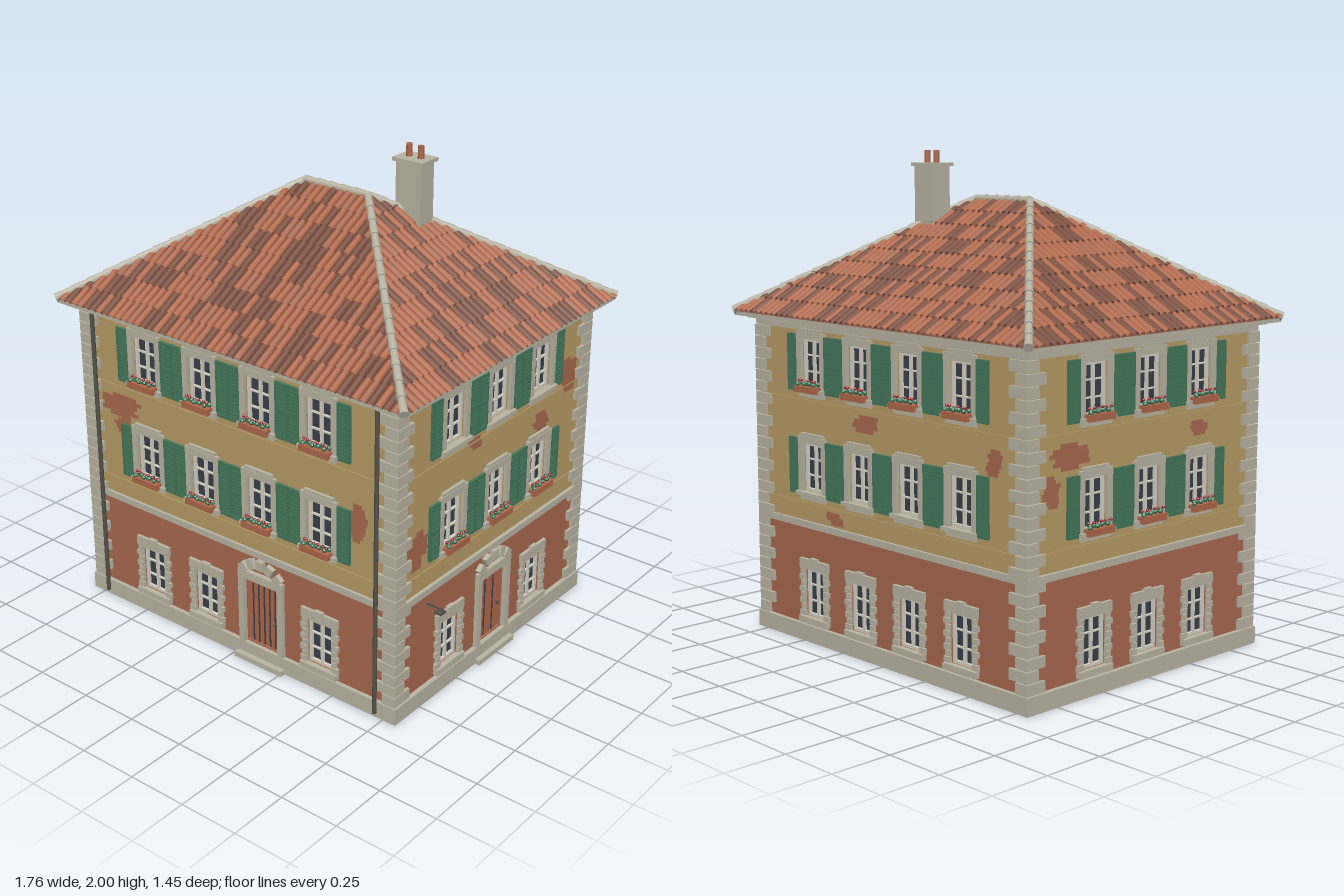
import * as THREE from 'three';
import { mergeGeometries } from 'three/addons/utils/BufferGeometryUtils.js';

const paint = (name, color, side = THREE.FrontSide) => {
  const m = new THREE.MeshStandardMaterial({ color, side });
  m.name = name;
  return m;
};
const M = {
  brick: paint('brick', 0xa9694f, THREE.DoubleSide),
  plaster: paint('ochre plaster', 0xb89c66),
  stone: paint('pale stone', 0xbab5a4),
  green: paint('shutter green', 0x44775a),
  glass: paint('dark glass', 0x3a404a),
  clay: paint('terracotta', 0xb0684a, THREE.DoubleSide),
  dark: paint('weathered tile', 0x7a4e3e, THREE.DoubleSide),
  frame: paint('window white', 0xd6d3c6),
  metal: paint('dark metal', 0x55524a),
  red: paint('flower red', 0xa82c30),
};
let seed = 7;
const rnd = () => (seed = (seed * 16807) % 2147483647) / 2147483647;
const boxGeo = (w, h, d, x = 0, y = 0, z = 0) => new THREE.BoxGeometry(w, h, d).translate(x, y, z);
function add(parent, name, geo, mat, x = 0, y = 0, z = 0) {
  const m = new THREE.Mesh(geo, mat);
  m.name = name;
  m.position.set(x, y, z);
  parent.add(m);
  return m;
}
const group = (parent, name, x = 0, y = 0, z = 0) => {
  const g = new THREE.Group();
  g.name = name;
  g.position.set(x, y, z);
  parent.add(g);
  return g;
};

// Shared window pieces, with the origin at the foot of the opening on the wall face
const OW = 0.124, OH = 0.2;
const sashGeo = mergeGeometries([
  ...[-1, 1].map(s => boxGeo(0.012, OH, 0.012, s * (OW / 2 - 0.006), OH / 2, -0.012)),
  ...[0.006, OH - 0.006].map(y => boxGeo(OW, 0.012, 0.012, 0, y, -0.012)),
  boxGeo(0.012, OH, 0.011, 0, OH / 2, -0.012),
  ...[1, 2].map(i => boxGeo(OW, 0.006, 0.01, 0, OH * i / 3, -0.012)),
]);
const plainTrim = mergeGeometries([
  ...[-1, 1].map(s => boxGeo(0.025, OH + 0.01, 0.016, s * 0.0745, OH / 2, 0.006)),
  boxGeo(0.174, 0.028, 0.018, 0, OH + 0.014, 0.006),
  boxGeo(0.14, 0.014, 0.016, 0, OH + 0.034, 0.005),
  boxGeo(0.185, 0.016, 0.03, 0, -0.008, 0.012),
  boxGeo(0.16, 0.02, 0.014, 0, -0.026, 0.004),
]);
const blocks = (half, n, h) => [-1, 1].flatMap(s => Array.from({ length: n }, (_, i) => {
  const w = i % 2 ? 0.022 : 0.031;
  return boxGeo(w, h - 0.003, 0.016, s * (half + w / 2), (i + 0.5) * h, 0.006);
}));
const blockTrim = mergeGeometries([
  ...blocks(OW / 2, 8, OH / 8),
  boxGeo(0.18, 0.042, 0.016, 0, OH + 0.021, 0.006),
  boxGeo(0.04, 0.05, 0.022, 0, OH + 0.025, 0.007),
  boxGeo(0.18, 0.026, 0.026, 0, -0.013, 0.01),
]);
const shutterGeo = mergeGeometries([
  boxGeo(0.06, 0.232, 0.006, 0, 0.1, 0.006),
  ...[-1, 1].map(s => boxGeo(0.008, 0.232, 0.012, s * 0.026, 0.1, 0.007)),
  ...[-0.01, 0.1, 0.21].map(y => boxGeo(0.06, 0.012, 0.012, 0, y, 0.007)),
  ...Array.from({ length: 14 }, (_, i) => boxGeo(0.046, 0.005, 0.007, 0, 0.004 + i * 0.0148, 0.009)),
]);
const tuft = (n, r, y) => mergeGeometries(Array.from({ length: n }, (_, i) =>
  new THREE.IcosahedronGeometry(r, 0).translate(-0.056 + 0.112 * i / (n - 1), y + rnd() * 0.008, 0.025 + (rnd() - 0.5) * 0.02)));
const leafGeo = tuft(9, 0.011, 0.018), bloomGeo = tuft(6, 0.007, 0.028);

function makeWindow(side, u, y, upper, flowers) {
  const w = group(side, upper ? 'shutteredWindow' : 'groundWindow', u, y);
  add(w, 'pane', boxGeo(OW, OH, 0.008, 0, OH / 2, -0.022), M.glass);
  add(w, 'sash', sashGeo, M.frame);
  add(w, 'surround', upper ? plainTrim : blockTrim, M.stone);
  if (upper) for (const s of [-1, 1]) add(w, 'shutter', shutterGeo, M.green, s * 0.118);
  if (flowers) {
    add(w, 'flowerBox', boxGeo(0.138, 0.026, 0.034, 0, 0, 0.027), M.clay);
    add(w, 'leaves', leafGeo, M.green);
    add(w, 'blooms', bloomGeo, M.red);
  }
}
function makeDoor(side, u, bars) {
  const d = group(side, 'door', u, 0.07);
  add(d, 'doorLeaf', boxGeo(0.176, 0.3, 0.01, 0, 0.15, -0.015), M.clay);
  for (let i = 0; i < bars; i++) {
    add(d, 'doorGap', boxGeo(0.006, 0.285, 0.003, ((i + 1) / (bars + 1) - 0.5) * 0.17, 0.15, -0.009), M.glass);
  }
  add(d, 'doorHandle', boxGeo(0.008, 0.014, 0.012, 0.06, 0.12, -0.006), M.metal);
  add(d, 'doorSurround', mergeGeometries([
    ...[-1, 1].map(s => boxGeo(0.026, 0.3, 0.022, s * 0.1, 0.15, 0.008)),
    boxGeo(0.226, 0.035, 0.024, 0, 0.317, 0.008),
    ...[-2, -1, 0, 1, 2].map(i => boxGeo(0.034, 0.04, 0.026, 0, 0.12, 0.008).rotateZ(-i * 0.38)
      .scale(1.05, 1, 1).translate(0, 0.26, 0)),
  ]), M.stone);
  add(d, 'doorStep', boxGeo(0.245, 0.022, 0.06, 0, -0.059, 0.012), M.stone);
}
// Ragged plate of bare brick where plaster has fallen off
function makePatch(side, u, y, w, h) {
  const n = Math.max(2, Math.round(h / 0.016));
  add(side, 'bareBrickPatch', mergeGeometries(Array.from({ length: n }, (_, i) => {
    const t = (i + 0.5) / n * 2 - 1;
    const rw = w * Math.sqrt(1 - t * t) * (0.7 + rnd() * 0.45);
    return boxGeo(rw, h / n, 0.004, (rnd() - 0.5) * w * 0.25, t * h / 2, 0.001);
  })), M.brick, u, y);
}
function wallGeo(half, y0, y1, holes) {
  const rect = (P, a, b, c, d) => new P().moveTo(a, b).lineTo(c, b).lineTo(c, d).lineTo(a, d).closePath();
  const s = rect(THREE.Shape, -half, y0, half, y1);
  for (const [u, y, w, h] of holes) s.holes.push(rect(THREE.Path, u - w / 2, y, u + w / 2, y + h));
  return new THREE.ExtrudeGeometry(s, { depth: 0.03, bevelEnabled: false }).translate(0, 0, -0.03);
}
function makeSide(house, o) {
  const pivot = group(house, o.name);
  pivot.rotation.y = o.turn;
  const side = group(pivot, 'facade', 0, 0, o.out);
  const ground = o.cols.map(u => u === o.door ? [u, 0.075, 0.176, 0.295] : [u, 0.105, OW, OH]);
  add(side, 'brickWall', wallGeo(o.half, 0.05, 0.49, ground), M.brick);
  const rows = [[0.63, o.low], [1.055, o.high]];
  add(side, 'plasterWall', wallGeo(o.half, 0.49, 1.31, rows.flatMap(([y]) => o.cols.map(u => [u, y, OW, OH]))), M.plaster);
  for (const u of o.cols) {
    if (u === o.door) makeDoor(side, u, o.bars);
    else makeWindow(side, u, 0.105, false, false);
    for (const [y, flowers] of rows) makeWindow(side, u, y, true, flowers);
  }
  for (const y of [0.578, 1.003]) add(side, 'sillString', boxGeo(o.half * 2, 0.008, 0.008), M.plaster, 0, y, 0);
  for (const p of o.patches) makePatch(side, ...p);
  return side;
}

// Roof: four slopes with rows of half-round tiles
const EX = 0.865, EZ = 0.71, Y0 = 1.342, RISE = 0.46, A = Math.atan(RISE / EZ), RIDGE = EX - EZ;
function makeRoof(house) {
  const roof = group(house, 'roof');
  const base = new THREE.BufferGeometry();
  const c = [[-EX, Y0, EZ], [EX, Y0, EZ], [EX, Y0, -EZ], [-EX, Y0, -EZ], [-RIDGE, Y0 + RISE, 0], [RIDGE, Y0 + RISE, 0]];
  const tri = [0, 1, 5, 0, 5, 4, 1, 2, 5, 2, 3, 4, 2, 4, 5, 3, 0, 4];
  base.setAttribute('position', new THREE.Float32BufferAttribute(tri.flatMap(i => c[i]), 3));
  base.computeVertexNormals();
  add(roof, 'roofDeck', base, M.dark);
  add(roof, 'eaves', boxGeo(EX * 2, 0.016, EZ * 2), M.stone, 0, Y0 - 0.008, 0);
  const sets = { clay: [], dark: [], brick: [] };
  const pitch = 0.0345, step = EZ / 9;
  for (const [turn, W, E] of [[0, EX, EZ], [Math.PI, EX, EZ], [Math.PI / 2, EZ, EX], [-Math.PI / 2, EZ, EX]]) {
    const n = Math.floor(W / pitch);
    for (let i = -n; i <= n; i++) for (let r = 0; r < 9; r++) {
      const u = i * pitch, d0 = r * step - 0.008;
      const d1 = Math.min(d0 + step * 1.15, W - Math.abs(u), EZ);
      if (d1 - d0 < 0.015) continue;
      const mid = (d0 + d1) / 2, len = (d1 - d0) / Math.cos(A);
      const g = new THREE.CylinderGeometry(0.0125, 0.0155, len, 5, 1, true, -Math.PI / 2, Math.PI)
        .rotateX(-(Math.PI / 2 - A) - 0.06)
        .translate(u, Y0 + 0.004 + mid * RISE / EZ, E - mid).rotateY(turn);
      const k = rnd();
      sets[k < 0.5 ? 'clay' : k < 0.85 ? 'dark' : 'brick'].push(g);
    }
  }
  for (const k in sets) add(roof, 'roofTiles', mergeGeometries(sets[k]), M[k]);
  // Overlapping cap tiles on the hips and the ridge
  const caps = [];
  const capLine = (a, b, n) => {
    const dir = b.clone().sub(a), q = new THREE.Quaternion().setFromUnitVectors(new THREE.Vector3(0, 1, 0), dir.clone().normalize());
    for (let i = 0; i < n; i++) {
      const p = a.clone().addScaledVector(dir, (i + 0.5) / n);
      caps.push(new THREE.CylinderGeometry(0.015, 0.019, dir.length() / n * 1.1, 8).applyQuaternion(q).translate(p.x, p.y, p.z));
    }
  };
  const V = (x, y, z) => new THREE.Vector3(x, y, z);
  for (const s of [-1, 1]) for (const t of [-1, 1]) capLine(V(s * EX, Y0 + 0.006, t * EZ), V(s * RIDGE, Y0 + RISE + 0.003, 0), 15);
  capLine(V(-RIDGE, Y0 + RISE + 0.003, 0), V(RIDGE, Y0 + RISE + 0.003, 0), 5);
  add(roof, 'hipAndRidgeTiles', mergeGeometries(caps), M.stone);
}

export function createModel() {
  const house = new THREE.Group();
  house.name = 'townHouse';
  add(house, 'plinth', boxGeo(1.62, 0.07, 1.314), M.stone, 0, 0.035, 0);
  add(house, 'beltCourse', boxGeo(1.61, 0.027, 1.304), M.stone, 0, 0.492, 0);
  add(house, 'frieze', boxGeo(1.6, 0.03, 1.294), M.stone, 0, 1.305, 0);
  add(house, 'cornice', boxGeo(1.65, 0.018, 1.344), M.stone, 0, 1.325, 0);

  const long = [-0.45, -0.155, 0.14, 0.435], short = [-0.295, 0, 0.295];
  makeSide(house, { name: 'frontSide', turn: 0, half: 0.79, out: 0.64, cols: long, door: 0.14, bars: 5, low: true, high: true,
    patches: [[-0.6, 0.92, 0.22, 0.1], [-0.585, 0.83, 0.09, 0.1], [0.615, 0.8, 0.08, 0.16]] });
  makeSide(house, { name: 'backSide', turn: Math.PI, half: 0.79, out: 0.64, cols: long.map(u => -u), low: false, high: true,
    patches: [[-0.1, 0.95, 0.16, 0.07], [-0.3, 0.54, 0.14, 0.05], [0.62, 0.9, 0.08, 0.1]] });
  const right = makeSide(house, { name: 'rightSide', turn: Math.PI / 2, half: 0.64, out: 0.79, cols: short, door: 0, bars: 2, low: true, high: false,
    patches: [[-0.51, 0.69, 0.13, 0.16], [0.5, 1.05, 0.15, 0.15], [-0.15, 0.995, 0.1, 0.05], [0.31, 0.915, 0.1, 0.08]] });
  makeSide(house, { name: 'leftSide', turn: -Math.PI / 2, half: 0.64, out: 0.79, cols: short, low: true, high: true,
    patches: [[-0.42, 0.92, 0.2, 0.1], [-0.52, 0.8, 0.08, 0.12], [0.3, 0.94, 0.1, 0.06]] });

  // Alternating corner stones
  const quoins = [], n = 26, h = 1.22 / n;
  for (const s of [-1, 1]) for (const t of [-1, 1]) for (let i = 0; i < n; i++) {
    const [w, d] = i % 2 ? [0.095, 0.062] : [0.062, 0.095];
    quoins.push(boxGeo(w, h - 0.004, d, s * (0.803 - w / 2), 0.07 + (i + 0.5) * h, t * (0.653 - d / 2)));
  }
  add(house, 'cornerStones', mergeGeometries(quoins), M.stone);

  for (const x of [-0.72, 0.715]) add(house, 'downpipe', new THREE.CylinderGeometry(0.009, 0.009, 1.3, 10), M.metal, x, 0.67, 0.662);

  // Wall lamp beside the side door
  const lamp = group(right, 'wallLamp', -0.44, 0.43);
  add(lamp, 'lampArm', boxGeo(0.006, 0.006, 0.075, 0, 0, 0.037), M.metal);
  add(lamp, 'lampShade', boxGeo(0.034, 0.009, 0.032, 0, -0.014, 0.062), M.metal);

  makeRoof(house);

  const chimney = group(house, 'chimney', 0.283, 0, -0.128);
  add(chimney, 'stack', boxGeo(0.118, 0.34, 0.086), M.stone, 0, 1.77, 0);
  add(chimney, 'chimneyCap', boxGeo(0.142, 0.014, 0.106), M.stone, 0, 1.943, 0);
  for (const x of [-0.028, 0.028]) add(chimney, 'chimneyPot', new THREE.CylinderGeometry(0.012, 0.013, 0.05, 12), M.clay, x, 1.975, 0);
  return house;
}
